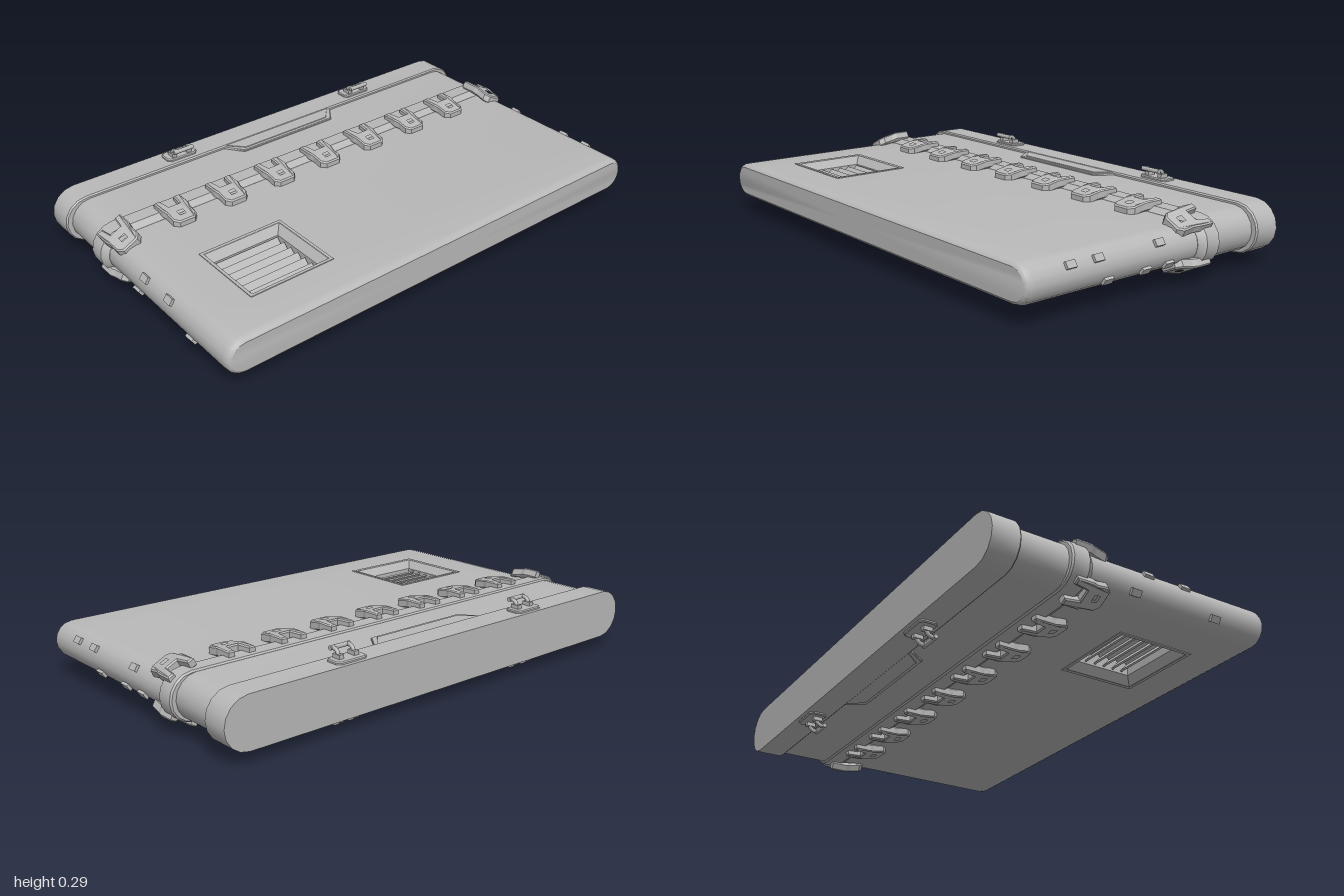
import * as THREE from 'three';
import { toCreasedNormals } from 'three/addons/utils/BufferGeometryUtils.js';

const CY = 0.147; // height of the middle plane
const VENT = { x0: -0.75, x1: -0.42, z0: 0.105, z1: 0.405 };

export function createModel() {
  const grey = new THREE.MeshStandardMaterial({ color: 0xb8b8b8 });
  grey.name = 'plain grey';
  const model = new THREE.Group();
  model.name = 'flatCase';
  const core = new THREE.Group();
  core.name = 'caseCore';
  core.position.y = CY;
  model.add(core);

  const add = (parent, name, geo, x = 0, y = 0, z = 0) => {
    const m = new THREE.Mesh(geo, grey);
    m.name = name;
    m.position.set(x, y, z);
    parent.add(m);
    return m;
  };

  // Joins rings of points into a skin; skip leaves quads open
  const loft = (rows, capped = true, skip = () => false) => {
    const pos = [];
    const tri = (...p) => p.forEach((v) => pos.push(...v));
    const n = rows[0].length;
    for (let i = 0; i < rows.length - 1; i++) {
      for (let j = 0; j < n; j++) {
        const k = (j + 1) % n;
        const [a, b, c, d] = [rows[i][j], rows[i][k], rows[i + 1][k], rows[i + 1][j]];
        if (skip(a, b, c, d)) continue;
        tri(a, b, c);
        tri(a, c, d);
      }
    }
    if (capped) {
      const first = rows[0], last = rows[rows.length - 1];
      for (let j = 0; j < n; j++) {
        const k = (j + 1) % n;
        tri([0, 0, last[0][2]], last[j], last[k]);
        tri([0, 0, first[0][2]], first[k], first[j]);
      }
    }
    const g = new THREE.BufferGeometry();
    g.setAttribute('position', new THREE.Float32BufferAttribute(pos, 3));
    return toCreasedNormals(g, 0.6);
  };

  // Flat section with rounded ends, split where the vent cuts it
  const section = (z, hx, hy) => {
    const pts = [], N = 8, cx = hx - hy;
    const arc = (sx, from) => {
      for (let i = 0; i <= N; i++) {
        const a = from + (Math.PI * i) / N;
        pts.push([sx * cx + hy * Math.cos(a), hy * Math.sin(a), z]);
      }
    };
    arc(1, -Math.PI / 2);
    pts.push([VENT.x1, hy, z], [VENT.x0, hy, z]);
    arc(-1, Math.PI / 2);
    pts.push([VENT.x0, -hy, z], [VENT.x1, -hy, z]);
    return pts;
  };
  const sections = (list) => list.map((s) => section(...s));

  // Main body with a rectangular opening through it
  const H = 0.0725;
  const inVent = (a, b, c, d) => {
    const x = (a[0] + b[0] + c[0] + d[0]) / 4, z = (a[2] + c[2]) / 2;
    return x > VENT.x0 && x < VENT.x1 && z > VENT.z0 && z < VENT.z1;
  };
  add(core, 'body', loft(sections([
    [-0.2, 0.975, H], [VENT.z0, 0.975, H], [VENT.z1, 0.975, H], [0.553, 0.975, H],
    [0.568, 0.973, 0.0705], [0.579, 0.968, 0.0655], [0.585, 0.959, 0.057],
  ]), true, inVent));

  // Stepped rear: collar, neck and end block
  add(core, 'collar', loft(sections([
    [-0.278, 0.992, 0.085], [-0.272, 0.998, 0.091], [-0.21, 0.998, 0.091], [-0.185, 0.976, 0.073],
  ])));
  add(core, 'neck', loft(sections([[-0.48, 0.976, 0.0845], [-0.27, 0.976, 0.0845]])));
  add(core, 'endBlock', loft(sections([
    [-0.585, 1.0, 0.0965], [-0.48, 1.0, 0.0965], [-0.474, 0.995, 0.0915],
  ])));

  // Vent funnel, open at both faces
  const rect = (y, inset) => {
    const { x0, x1, z0, z1 } = VENT, i = inset;
    return [[x1 - i, y, z1 - i], [x1 - i, y, z0 + i], [x0 + i, y, z0 + i], [x0 + i, y, z1 - i]];
  };
  add(core, 'ventFunnel', loft([rect(H, 0), rect(0.04, 0.024), rect(-0.04, 0.024), rect(-H, 0)], false));

  // Plan outline to solid: outline is (x, z), thickness rises from y = 0
  const plate = (points, depth, bevel = 0, holes = []) => {
    const flip = (list) => list.map(([x, z]) => new THREE.Vector2(x, -z));
    const s = new THREE.Shape(flip(points));
    holes.forEach((h) => s.holes.push(new THREE.Path(flip(h))));
    const g = new THREE.ExtrudeGeometry(s, {
      depth: depth - bevel, bevelEnabled: bevel > 0, bevelThickness: bevel, bevelSize: bevel,
      bevelOffset: -bevel, bevelSegments: 1,
    });
    return g.rotateX(-Math.PI / 2);
  };
  const box2 = (x0, x1, z0, z1) => [[x0, z0], [x1, z0], [x1, z1], [x0, z1]];

  const vent = new THREE.Group();
  vent.name = 'vent';
  core.add(vent);
  for (const s of [1, -1]) {
    // Slim rim around the opening
    const rim = plate(box2(VENT.x0 - 0.012, VENT.x1 + 0.012, VENT.z0 - 0.012, VENT.z1 + 0.012), 0.004, 0,
      [box2(VENT.x0, VENT.x1, VENT.z0, VENT.z1)]);
    add(vent, 'ventRim', rim, 0, s > 0 ? H - 0.001 : -H - 0.003, 0);
    // Slanted slats meeting in the middle
    for (let i = 0; i < 6; i++) {
      const slat = add(vent, 'slat', new THREE.BoxGeometry(0.27, 0.007, 0.05), -0.585, s * 0.017, 0.15 + i * 0.042);
      slat.rotation.x = s * 0.8;
    }
  }

  // Clip plan: two prongs at the back, chamfered foot at the front, with a slot
  const half = [[0.022, -0.195], [0.03, -0.25], [0.056, -0.25], [0.056, -0.185], [0.05, -0.165], [0.05, -0.12], [0.032, -0.1]];
  const clipPlan = [...half, ...half.map(([x, z]) => [-x, z]).reverse()];
  const clipGeo = plate(clipPlan, 0.03, 0.005, [box2(-0.018, 0.018, -0.16, -0.127)]);
  const cp = clipGeo.attributes.position;
  for (let i = 0; i < cp.count; i++) {
    const t = THREE.MathUtils.clamp((-0.1 - cp.getZ(i)) / 0.085, 0, 1);
    cp.setY(i, cp.getY(i) + 0.066 + 0.016 * t);
  }
  clipGeo.computeVertexNormals();

  // Carry loop: two curled legs and a crossbar
  const legPath = new THREE.CatmullRomCurve3([
    new THREE.Vector3(0, 0.095, -0.522), new THREE.Vector3(0, 0.12, -0.528),
    new THREE.Vector3(0, 0.134, -0.515), new THREE.Vector3(0, 0.136, -0.495),
  ]);
  const legGeo = new THREE.TubeGeometry(legPath, 8, 0.008, 6);
  const barGeo = new THREE.CylinderGeometry(0.009, 0.009, 0.088, 8).rotateZ(Math.PI / 2);

  // Fittings for the upper face; turned over for the lower face
  for (const upper of [true, false]) {
    const side = new THREE.Group();
    side.name = upper ? 'upperFittings' : 'lowerFittings';
    if (!upper) side.rotation.z = Math.PI;
    core.add(side);

    for (let i = -4; i <= 4; i++) {
      const end = Math.abs(i) === 4;
      const clip = add(side, 'clip', clipGeo, end ? Math.sign(i) * 0.885 : i * 0.2285);
      if (end) clip.rotation.z = -Math.sign(i) * 0.46; // end clips follow the rounded side
      add(clip, 'clipInset', new THREE.BoxGeometry(0.036, 0.02, 0.033), 0, 0.073, -0.1435);
    }

    // Raised grip panel on the neck
    const grip = (g) => [[-0.28 + g, -0.478], [0.28 - g, -0.478], [0.225 - g, -0.4 - g], [-0.225 + g, -0.4 - g]];
    add(side, 'gripPanel', plate(grip(0), 0.009, 0.003), 0, 0.083, 0);
    add(side, 'gripPanelInner', plate(grip(0.016), 0.003, 0.001), 0, 0.0915, 0);

    for (const x of [-0.456, 0.456]) {
      const loop = new THREE.Group();
      loop.name = 'carryLoop';
      loop.position.x = x;
      side.add(loop);
      const c = 0.014;
      add(loop, 'loopBase', plate([[-0.068 + c, -0.57], [0.068 - c, -0.57], [0.068, -0.57 + c], [0.068, -0.498 - c],
        [0.068 - c, -0.498], [-0.068 + c, -0.498], [-0.068, -0.498 - c], [-0.068, -0.57 + c]], 0.012, 0.004), 0, 0.094, 0);
      for (const s of [-1, 1]) {
        add(loop, 'loopLeg', legGeo, s * 0.034);
        add(loop, 'loopHinge', new THREE.BoxGeometry(0.02, 0.018, 0.036), s * 0.034, 0.112, -0.527);
      }
      add(loop, 'loopBar', barGeo, 0, 0.135, -0.496);
    }
  }

  // Small studs on the rounded sides: [side, z, tilt direction]
  const studs = [
    [1, 0.4, 1], [1, 0.28, 1], [1, 0, 1], [1, 0.235, -1], [1, 0.06, -1], [1, -0.05, -1],
    [-1, 0.06, 1], [-1, 0.22, 1], [-1, 0, -1], [-1, 0.35, -1],
  ];
  for (const [sx, z, up] of studs) {
    const pivot = new THREE.Group();
    pivot.name = 'sideStud';
    pivot.position.set(sx * 0.9025, 0, z);
    pivot.rotation.z = sx * up * 0.6;
    core.add(pivot);
    add(pivot, 'stud', new THREE.BoxGeometry(0.018, 0.026, 0.04), sx * 0.073);
  }
  return model;
}
